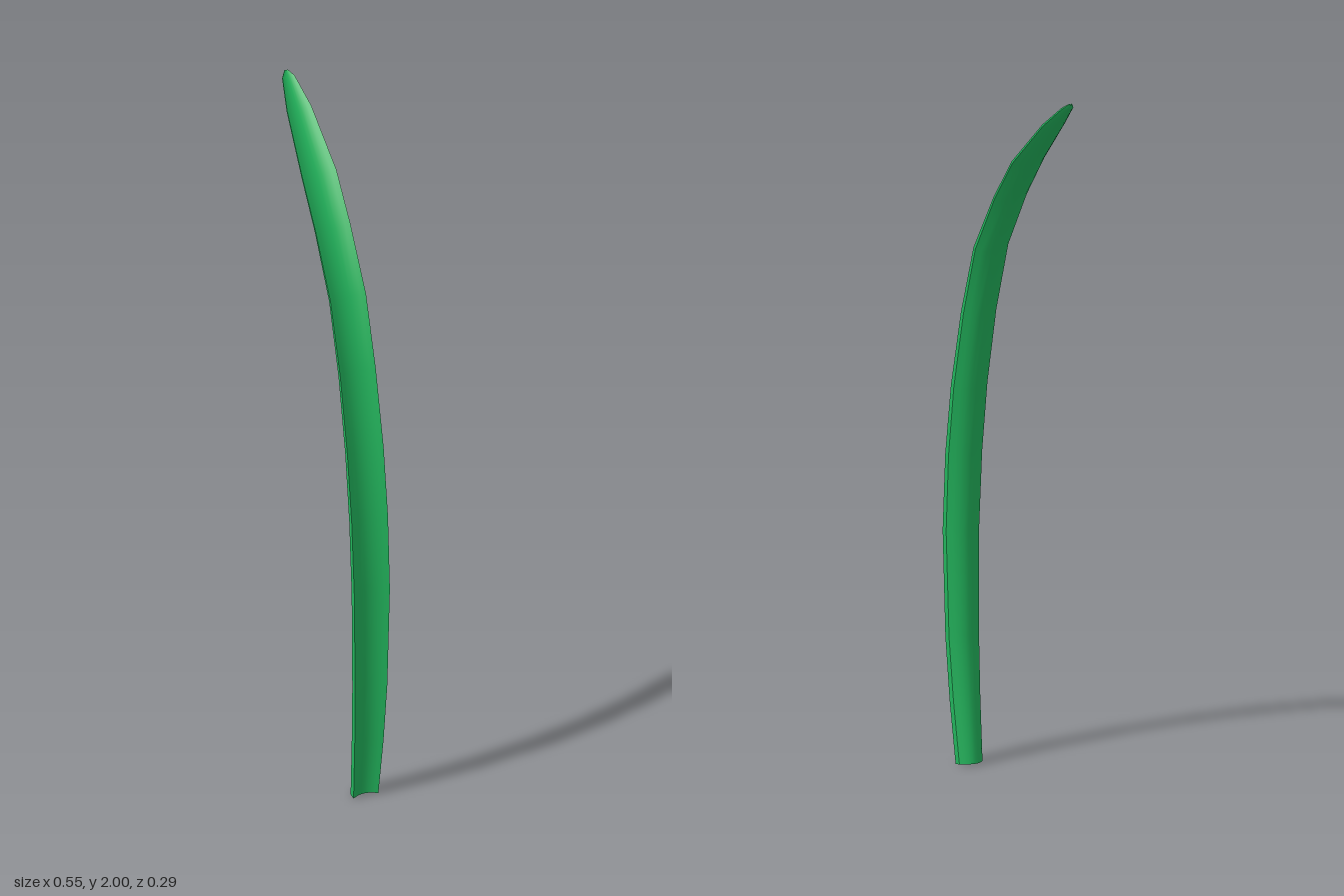
import * as THREE from 'three';

// Blade stations: [outward reach, height, half width, rim thickness]
const STATIONS = [
  [0.228, 0.005, 0.037, 0.020],
  [0.249, 0.18, 0.043, 0.020],
  [0.263, 0.36, 0.048, 0.019],
  [0.269, 0.66, 0.053, 0.018],
  [0.254, 0.88, 0.054, 0.017],
  [0.225, 1.08, 0.054, 0.015],
  [0.175, 1.30, 0.053, 0.013],
  [0.110, 1.50, 0.053, 0.010],
  [0.010, 1.665, 0.052, 0.007],
  [-0.083, 1.79, 0.051, 0.006],
  [-0.217, 1.925, 0.036, 0.005],
  [-0.288, 1.987, 0.018, 0.004],
  [-0.304, 2.0, 0.005, 0.002],
];
const TURN = -0.406;      // heading of the bend about the vertical axis
const SIDE_SHIFT = -0.016;
const ACROSS = [-1, -0.75, -0.5, -0.25, 0, 0.25, 0.5, 0.75, 1];

// Point on the blade: t runs across the width, k is 0 on the groove face and 1 on the back
function bladePoint(i, t, k) {
  const [u, y, half, thick] = STATIONS[i];
  const a = STATIONS[Math.max(i - 1, 0)];
  const b = STATIONS[Math.min(i + 1, STATIONS.length - 1)];
  const du = b[0] - a[0], dy = b[1] - a[1], len = Math.hypot(du, dy);
  const bow = 1 - t * t;
  const inset = 0.34 * half * bow + k * thick * (1 + 0.65 * bow);
  return new THREE.Vector3(
    u - inset * dy / len, y + inset * du / len, half * t + SIDE_SHIFT);
}

// Surface through a grid of points; rows go up and columns to the side
function gridSurface(rows) {
  const n = rows[0].length, index = [];
  for (let i = 0; i < rows.length - 1; i++) {
    for (let j = 0; j < n - 1; j++) {
      const a = i * n + j, b = a + n;
      index.push(a, b, a + 1, b, b + 1, a + 1);
    }
  }
  const geometry = new THREE.BufferGeometry().setFromPoints(rows.flat());
  geometry.setIndex(index);
  geometry.computeVertexNormals();
  return geometry;
}

export function createModel() {
  const model = new THREE.Group();
  model.name = 'leafBlade';
  const material = new THREE.MeshStandardMaterial({ color: 0x22b45c });
  const reversed = [...ACROSS].reverse();
  const last = STATIONS.length - 1;

  const add = (name, rows) => {
    const mesh = new THREE.Mesh(gridSurface(rows), material);
    mesh.name = name;
    mesh.rotation.y = TURN;
    model.add(mesh);
  };
  const along = (section) => STATIONS.map((_, i) => section.map(([t, k]) => bladePoint(i, t, k)));

  // Hollow groove face and rounded back
  add('grooveFace', along(ACROSS.map((t) => [t, 0])));
  add('roundedBack', along(reversed.map((t) => [t, 1])));

  // Narrow rims joining the two faces
  add('leftRim', along([[1, 0], [1, 1]]));
  add('rightRim', along([[-1, 1], [-1, 0]]));

  // Closed ends
  add('baseEnd', [0, 1].map((k) => reversed.map((t) => bladePoint(0, t, k))));
  add('tipEnd', [0, 1].map((k) => ACROSS.map((t) => bladePoint(last, t, k))));

  return model;
}
